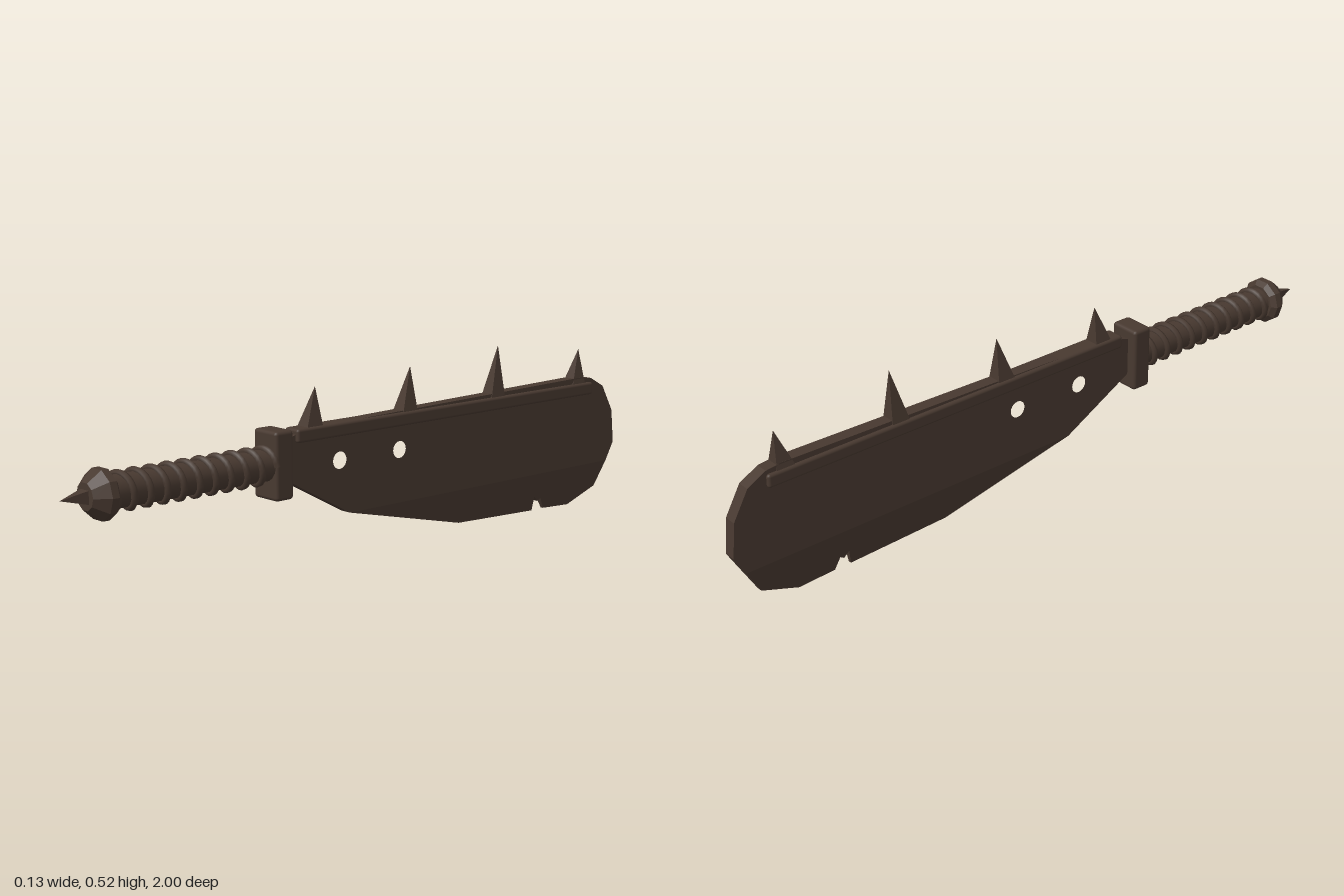
import * as THREE from 'three';
import { RoundedBoxGeometry } from 'three/addons/geometries/RoundedBoxGeometry.js';

const AXIS_Y = 0.288; // height of the handle axis
const HALF = 0.018; // half thickness of the blade
const BEVEL_Y = 0.12; // the blade thins below this height

export function createModel() {
  const group = new THREE.Group();
  const iron = new THREE.MeshStandardMaterial({ color: 0x483930 });

  const add = (name, geometry, x = 0, y = 0, z = 0) => {
    const mesh = new THREE.Mesh(geometry, iron);
    mesh.name = name;
    mesh.position.set(x, y, z);
    group.add(mesh);
    return mesh;
  };

  // Outline given as [z, y] pairs, extruded across x
  const slab = (points, holes = []) => {
    const shape = new THREE.Shape(points.map(([z, y]) => new THREE.Vector2(z, y)));
    for (const [z, y, r] of holes) {
      shape.holes.push(new THREE.Path().absarc(z, y, r, 0, Math.PI * 2, true));
    }
    const g = new THREE.ExtrudeGeometry(shape, { depth: HALF * 2, bevelEnabled: false, curveSegments: 10 });
    return g.translate(0, 0, -HALF).rotateY(-Math.PI / 2);
  };

  // Upper blade with two round holes
  add('bladeBody', slab([
    [0.31, 0.24], [0.09, BEVEL_Y], [-0.968, BEVEL_Y], [-1, 0.175], [-0.99, 0.275],
    [-0.945, 0.355], [-0.89, 0.385], [-0.84, 0.391], [0.02, 0.375], [0.25, 0.368], [0.31, 0.35],
  ], [[0.126, 0.27, 0.024], [-0.094, 0.27, 0.024]]));

  // Cutting edge with a chipped notch, thinning towards the bottom
  const edge = slab([
    [0.09, BEVEL_Y], [-0.34, 0.02], [-0.65, 0.008], [-0.656, 0.05], [-0.672, 0.034],
    [-0.684, 0.042], [-0.7, 0.008], [-0.81, 0.002], [-0.925, 0.045], [-0.968, BEVEL_Y],
  ]);
  const p = edge.attributes.position;
  for (let i = 0; i < p.count; i++) {
    const t = THREE.MathUtils.clamp(p.getY(i) / BEVEL_Y, 0, 1);
    p.setX(i, p.getX(i) * THREE.MathUtils.lerp(0.2, 1, t));
  }
  edge.computeVertexNormals();
  add('cuttingEdge', edge);

  // Reinforcing bar along the back of the blade
  add('spineBar', new RoundedBoxGeometry(0.056, 0.038, 1.17, 2, 0.008), 0, 0.355, -0.305);

  // Four-sided spike standing on y = 0 with its tip shifted along z
  const pyramid = (halfX, halfZ, height, lean) => {
    const g = new THREE.ConeGeometry(Math.SQRT2, height, 4, 1).toNonIndexed();
    g.rotateY(Math.PI / 4).scale(halfX, 1, halfZ).translate(0, height / 2, 0);
    const q = g.attributes.position;
    for (let i = 0; i < q.count; i++) q.setZ(i, q.getZ(i) + (lean * q.getY(i)) / height);
    g.computeVertexNormals();
    return g;
  };

  // Spikes along the spine: [base z, tip height]
  for (const [z, tip] of [[0.215, 0.477], [-0.132, 0.495], [-0.482, 0.52], [-0.832, 0.475]]) {
    add('spineSpike', pyramid(0.022, 0.028, tip - 0.368, -0.018), 0, 0.368, z);
  }

  // Guard and grip
  add('guard', new RoundedBoxGeometry(0.094, 0.185, 0.06, 2, 0.01), 0, AXIS_Y, 0.34);
  add('grip', new THREE.CylinderGeometry(0.043, 0.043, 0.53, 16).rotateX(Math.PI / 2), 0, AXIS_Y, 0.615);

  // Cord wound around the grip
  const TURNS = 10;
  const coil = [];
  for (let i = 0; i <= TURNS * 14; i++) {
    const a = (i / 14) * Math.PI * 2;
    coil.push(new THREE.Vector3(Math.cos(a) * 0.045, Math.sin(a) * 0.045, 0.365 + (0.5 * i) / (TURNS * 14)));
  }
  add('gripCord', new THREE.TubeGeometry(new THREE.CatmullRomCurve3(coil), TURNS * 24, 0.0095, 6), 0, AXIS_Y, 0);

  // Ten-sided pommel, faceted
  const profile = [[0, 0.86], [0.052, 0.86], [0.067, 0.872], [0.067, 0.892], [0.036, 0.928], [0, 0.928]];
  const pommel = new THREE.LatheGeometry(profile.map(([r, z]) => new THREE.Vector2(r, z)), 10)
    .rotateY(Math.PI / 2).rotateX(Math.PI / 2).toNonIndexed();
  pommel.computeVertexNormals();
  add('pommel', pommel, 0, AXIS_Y, 0);

  // Small spike at the end of the pommel
  add('pommelSpike', pyramid(0.018, 0.018, 0.075, 0).rotateX(Math.PI / 2), 0, AXIS_Y, 0.925);

  return group;
}
